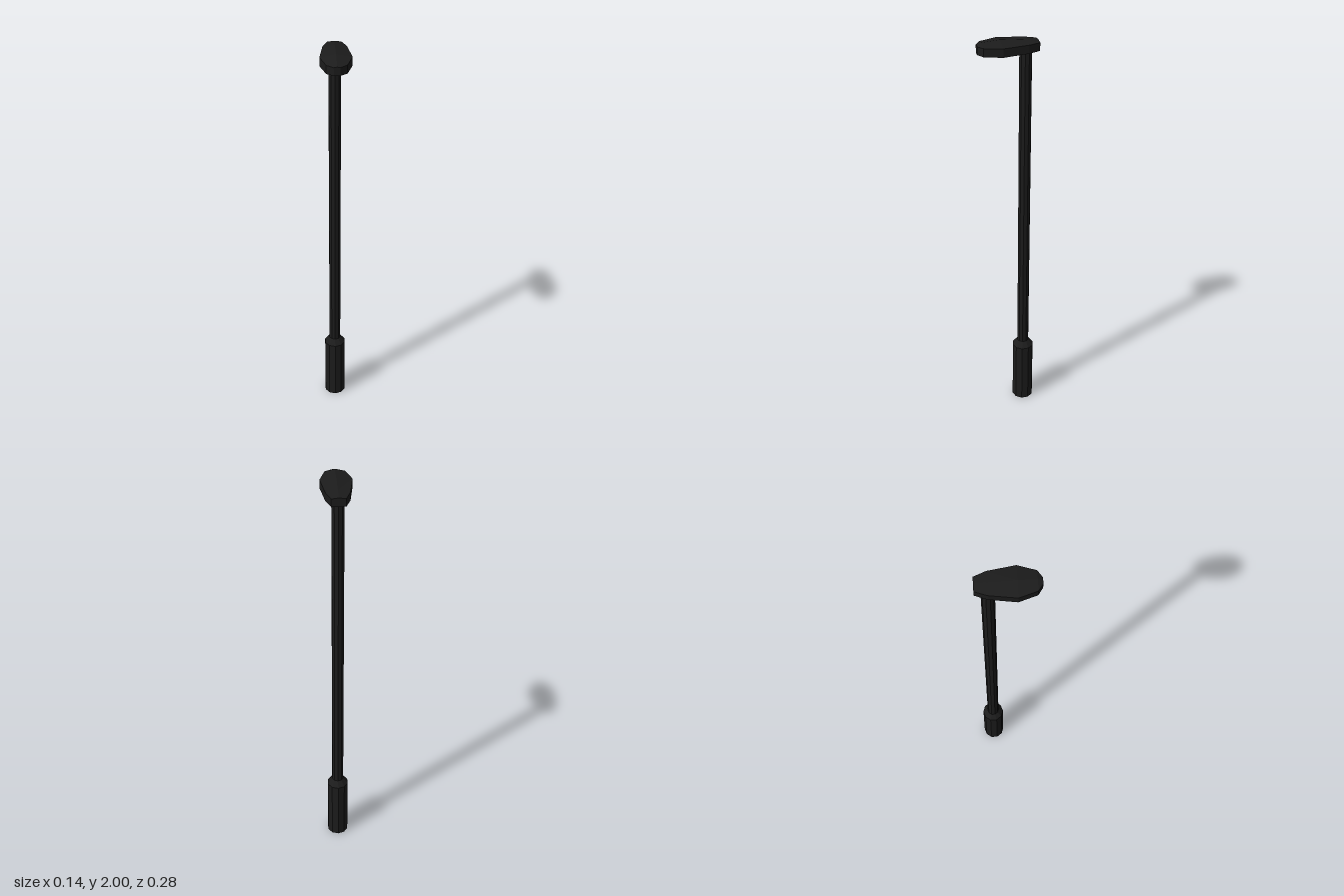
import * as THREE from 'three';

const SIDES = 10;
const POLE_Z = -0.083;

// Lamp head: ridged cross-sections along z, joined into a closed shell
function headGeometry() {
  const bottom = 1.945;
  // z, half width, eave height, ridge height
  const sections = [
    [-0.139, 0.032, 1.982, 1.986],
    [-0.085, 0.053, 1.984, 1.992],
    [0.035, 0.071, 1.985, 2.0],
    [0.115, 0.045, 1.984, 1.994],
    [0.136, 0.014, 1.982, 1.985],
  ];
  const positions = [];
  const index = [];
  for (const [z, w, eave, ridge] of sections) {
    positions.push(-w, bottom, z, w, bottom, z, w, eave, z, 0, ridge, z, -w, eave, z);
  }
  const n = 5;
  for (let i = 0; i < sections.length - 1; i++) {
    for (let j = 0; j < n; j++) {
      const a = i * n + j, b = i * n + (j + 1) % n;
      index.push(a, b, b + n, a, b + n, a + n);
    }
  }
  // End caps
  const last = (sections.length - 1) * n;
  for (let j = 1; j < n - 1; j++) {
    index.push(0, j + 1, j);
    index.push(last, last + j, last + j + 1);
  }
  const geometry = new THREE.BufferGeometry();
  geometry.setAttribute('position', new THREE.Float32BufferAttribute(positions, 3));
  geometry.setIndex(index);
  const flat = geometry.toNonIndexed();
  flat.computeVertexNormals();
  return flat;
}

export function createModel() {
  const model = new THREE.Group();
  model.name = 'streetLamp';
  const material = new THREE.MeshStandardMaterial({ color: 0x1c1c1c, flatShading: true });

  const add = (name, geometry) => {
    const mesh = new THREE.Mesh(geometry, material);
    mesh.name = name;
    model.add(mesh);
    return mesh;
  };
  // Upright faceted section between two heights
  const column = (name, y0, y1, r0, r1) => {
    const mesh = add(name, new THREE.CylinderGeometry(r1, r0, y1 - y0, SIDES));
    mesh.position.set(0, (y0 + y1) / 2, POLE_Z);
  };

  column('base', 0, 0.33, 0.053, 0.053);
  column('baseCollar', 0.33, 0.36, 0.053, 0.029);
  column('pole', 0.36, 1.95, 0.029, 0.029);
  add('lampHead', headGeometry());

  return model;
}
